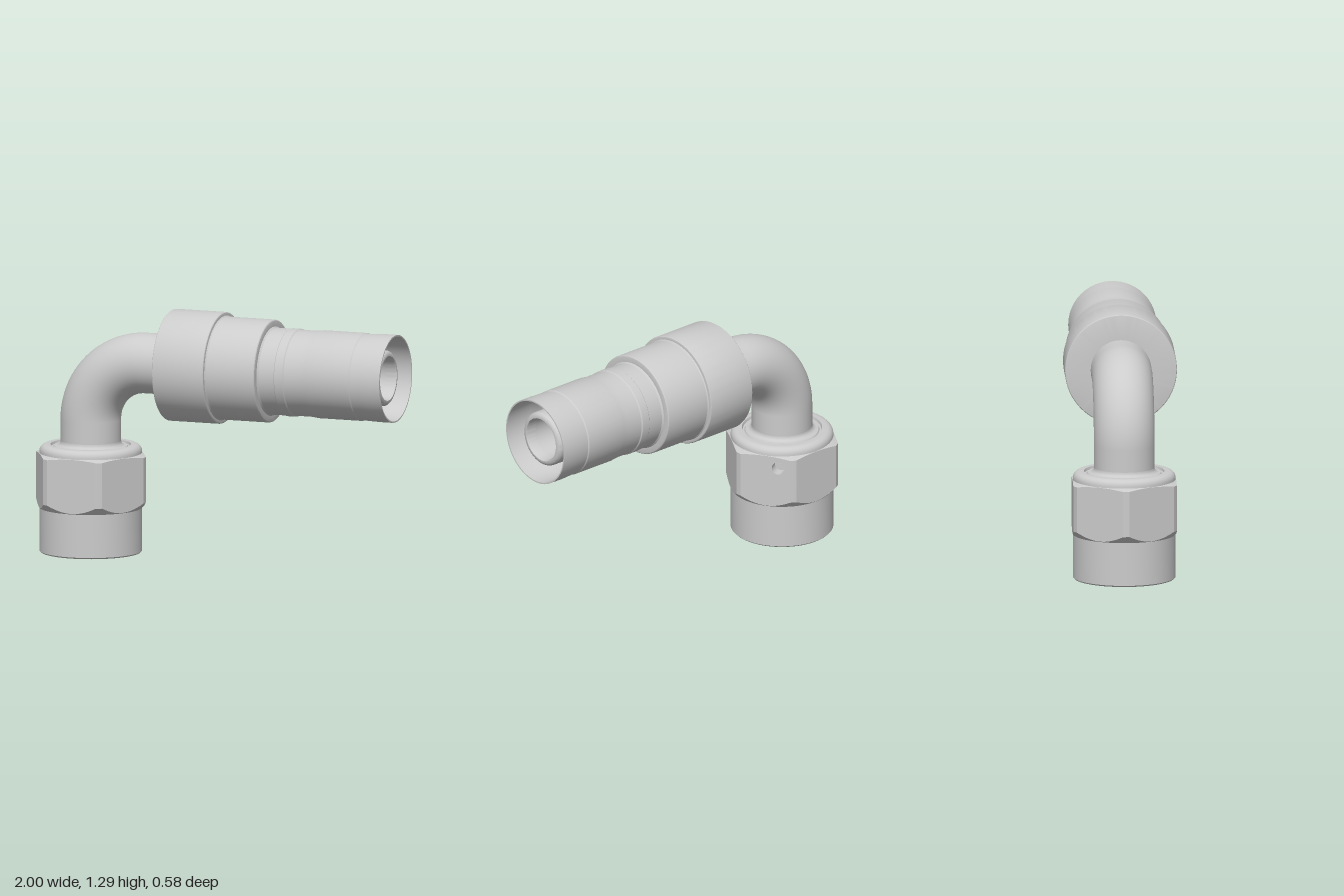
import * as THREE from 'three';
import { toCreasedNormals } from 'three/addons/utils/BufferGeometryUtils.js';

const material = new THREE.MeshStandardMaterial({ color: 0xcccccc, side: THREE.DoubleSide });
const NUT_X = -0.7, AXIS_Y = 1.005, BEND = 0.31;
const SEGMENTS = 96;

function addMesh(parent, name, geometry) {
  const mesh = new THREE.Mesh(geometry, material);
  mesh.name = name;
  parent.add(mesh);
  return mesh;
}

// Turned part from [radius, height] pairs
function turned(profile) {
  const points = profile.map(([r, y]) => new THREE.Vector2(r, y));
  return toCreasedNormals(new THREE.LatheGeometry(points, SEGMENTS), 0.5);
}

// Quarter-circle profile points, centre (cx, cy), from angle a0 to a1 in degrees
function arc(cx, cy, r, a0, a1, steps = 5) {
  return Array.from({ length: steps + 1 }, (_, i) => {
    const a = THREE.MathUtils.degToRad(a0 + (a1 - a0) * i / steps);
    return [cx + r * Math.cos(a), cy + r * Math.sin(a)];
  });
}

// Bent pipe: vertical leg, quarter bend, horizontal leg
function bentPipe(name, radius, yStart, xEnd) {
  const group = new THREE.Group();
  group.name = name;
  const cx = NUT_X + BEND, cy = AXIS_Y - BEND;
  const leg = (length) => new THREE.CylinderGeometry(radius, radius, length, 48, 1, true);
  addMesh(group, name + 'VerticalLeg', leg(cy - yStart)).position.set(NUT_X, (cy + yStart) / 2, 0);
  addMesh(group, name + 'Bend', new THREE.TorusGeometry(BEND, radius, 48, 32, Math.PI / 2)
    .rotateZ(Math.PI / 2)).position.set(cx, cy, 0);
  addMesh(group, name + 'HorizontalLeg', leg(xEnd - cx).rotateZ(-Math.PI / 2))
    .position.set((cx + xEnd) / 2, AXIS_Y, 0);
  return group;
}

// Hexagon with its corners turned down and chamfered, and one drilled flat
function hexagon() {
  const group = new THREE.Group();
  group.name = 'hexagon';
  const flat = 0.268, corner = 0.3, half = Math.acos(flat / corner);
  const bottomY = (r) => 0.235 + (r - flat) * 1.1;
  const topY = (r) => 0.518 - (r - flat) * 0.3;
  const steps = 14;
  const flatAngles = Array.from({ length: steps + 1 }, (_, i) => half * (2 * i / steps - 1));

  // Six flats
  const holeT = 0.069, holeY = 0.455, holeR = 0.034;
  for (let k = 0; k < 6; k++) {
    const lower = flatAngles.map((d) => new THREE.Vector2(flat * Math.tan(d), bottomY(flat / Math.cos(d))));
    const upper = flatAngles.map((d) => new THREE.Vector2(flat * Math.tan(d), topY(flat / Math.cos(d)))).reverse();
    const shape = new THREE.Shape([...lower, ...upper]);
    if (k === 2) shape.holes.push(new THREE.Path().absarc(holeT, holeY, holeR, 0, Math.PI * 2, true));
    const face = addMesh(group, 'hexagonFlat', new THREE.ShapeGeometry(shape, 24).translate(0, 0, flat));
    face.rotation.y = k * Math.PI / 3;
    if (k === 2) {
      const wall = new THREE.CylinderGeometry(holeR, holeR, 0.07, 32, 1, true).rotateX(Math.PI / 2);
      addMesh(face, 'drilledHole', wall.translate(holeT, holeY, flat - 0.035));
    }
  }

  // Chamfers around the hexagon and the rounded corners between flats
  const rim = [];
  for (let k = 0; k < 6; k++) {
    const base = k * Math.PI / 3;
    flatAngles.forEach((d, i) => rim.push({ a: base + d, r: flat / Math.cos(d), corner: i === steps }));
    for (let i = 1; i < 4; i++) {
      rim.push({ a: base + half + (Math.PI / 3 - 2 * half) * i / 4, r: corner, corner: true });
    }
  }
  const positions = [];
  const at = (a, r, y) => [r * Math.sin(a), y, r * Math.cos(a)];
  const quad = (p, q, r, s) => positions.push(...p, ...q, ...r, ...p, ...r, ...s);
  rim.forEach((p, i) => {
    const q = rim[(i + 1) % rim.length];
    const low = (v) => at(v.a, v.r, bottomY(v.r));
    const high = (v) => at(v.a, v.r, topY(v.r));
    quad(at(p.a, 0.264, 0.23), at(q.a, 0.264, 0.23), low(q), low(p));
    quad(high(p), high(q), at(q.a, 0.26, 0.522), at(p.a, 0.26, 0.522));
    if (p.corner) quad(low(p), low(q), high(q), high(p));
  });
  const geometry = new THREE.BufferGeometry();
  geometry.setAttribute('position', new THREE.Float32BufferAttribute(positions, 3));
  addMesh(group, 'hexagonChamfers', toCreasedNormals(geometry, 0.3));
  return group;
}

export function createModel() {
  const model = new THREE.Group();
  model.name = 'elbowHoseFitting';

  // Swivel nut: bore, skirt, relief behind the hexagon, rounded collar
  const nut = new THREE.Group();
  nut.name = 'swivelNut';
  nut.position.x = NUT_X;
  addMesh(nut, 'nutBody', turned([
    [0.11, 0.42], [0.205, 0.4], [0.205, 0.035], [0.243, 0], [0.259, 0], [0.266, 0.007],
    [0.266, 0.24], [0.22, 0.24], [0.22, 0.5], [0.266, 0.5],
    ...arc(0.231, 0.528, 0.035, 0, 90),
    [0.208, 0.563], [0.204, 0.55], [0.194, 0.55], [0.19, 0.557],
    ...arc(0.182, 0.582, 0.025, 270, 180),
  ]));
  nut.add(hexagon());
  model.add(nut);

  // Elbow pipe and its bore
  model.add(bentPipe('elbowPipe', 0.157, 0.45, -0.2));
  model.add(bentPipe('elbowBore', 0.112, 0.42, 0.9));

  // Stepped crimp sleeve with a thin open end
  const sleeve = addMesh(model, 'crimpSleeve', turned([
    [0.15, -0.245], [0.282, -0.245], ...arc(0.282, -0.237, 0.008, -90, 0, 3),
    ...arc(0.282, 0.034, 0.008, 0, 90, 3), [0.272, 0.042], [0.267, 0.048],
    ...arc(0.257, 0.307, 0.01, 0, 90, 3), [0.232, 0.317], [0.225, 0.325],
    [0.225, 0.41], [0.228, 0.414], [0.228, 0.458], [0.223, 0.464],
    [0.223, 0.55], [0.227, 0.585], [0.228, 0.59], [0.228, 0.826], [0.224, 0.832],
    [0.226, 0.88], [0.228, 0.93], [0.228, 1],
    [0.221, 1], [0.218, 0.85], [0.206, 0.81], [0.206, 0.36], [0.13, 0.36],
  ]));
  // Inner hose nipple with a rounded nose
  const nipple = addMesh(model, 'hoseNipple', turned([
    [0.145, 0.34], [0.145, 0.935], ...arc(0.12, 0.935, 0.025, 0, 90),
    [0.116, 0.96], [0.112, 0.95], [0.112, 0.88],
  ]));
  for (const part of [sleeve, nipple]) {
    part.rotation.z = -Math.PI / 2;
    part.position.y = AXIS_Y;
  }
  return model;
}
